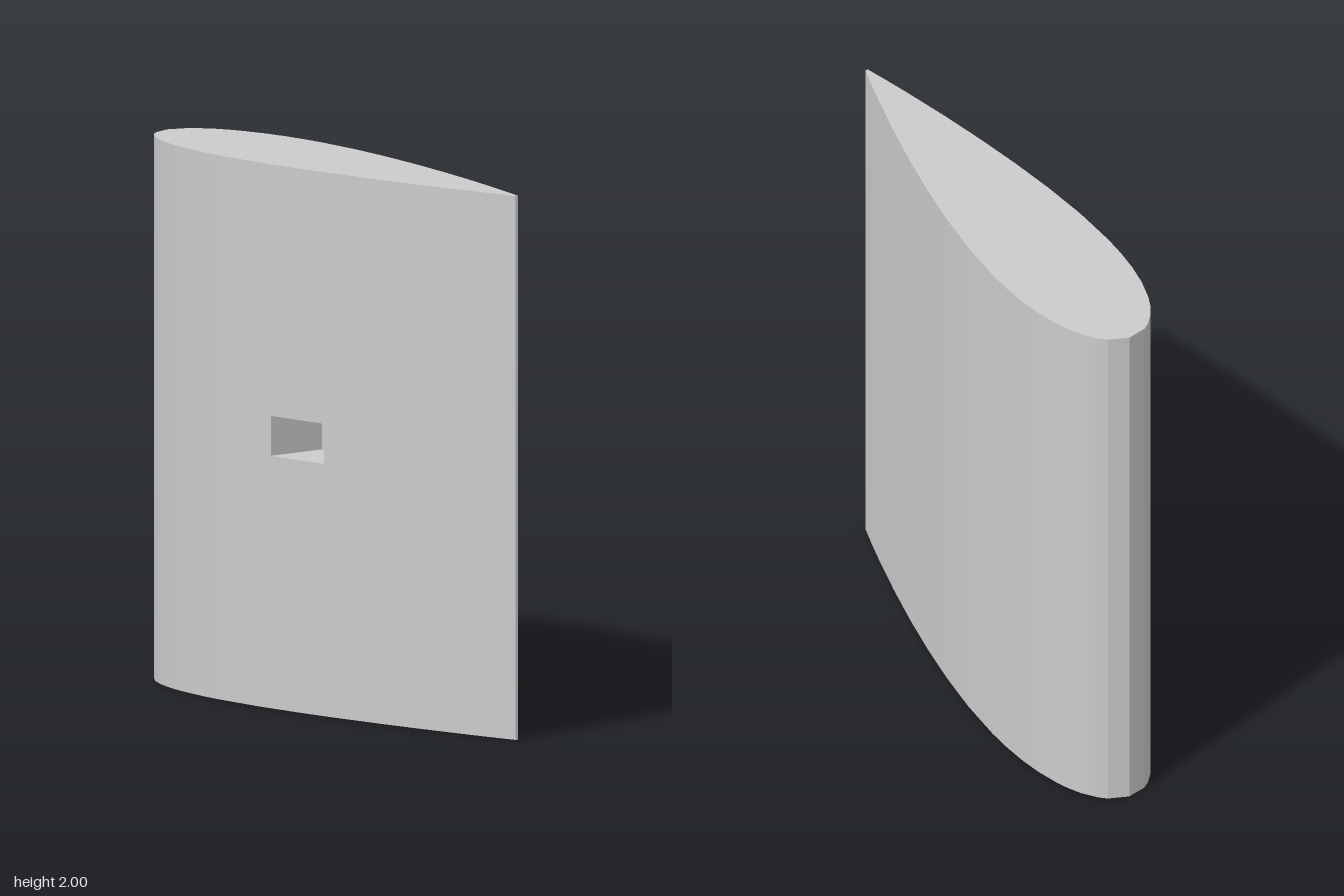
import * as THREE from 'three';

const HEIGHT = 2;
const SLOT = { left: -0.133, right: 0.13, bottom: 0.928, top: 1.075, back: -0.015 };

// Chord stations of the section, closer together towards the rounded nose
const STATIONS = [0, 0.0125, 0.025, 0.05, 0.075, 0.1, 0.15, 0.2, 0.25, 0.3,
  0.4, 0.5, 0.6, 0.7, 0.8, 0.9, 0.95, 1];

// Symmetric aerofoil, 24% thick, chord 2
function halfThickness(t) {
  return 2.4 * (0.2969 * Math.sqrt(t) - 0.126 * t - 0.3516 * t ** 2 + 0.2843 * t ** 3 - 0.1015 * t ** 4);
}

// Upright facets along a path of (x, z) points
function wall(path, y0, y1) {
  const pos = [];
  for (let i = 0; i < path.length - 1; i++) {
    const [ax, az] = path[i], [bx, bz] = path[i + 1];
    pos.push(ax, y0, az, bx, y0, bz, bx, y1, bz, ax, y0, az, bx, y1, bz, ax, y1, az);
  }
  const g = new THREE.BufferGeometry();
  g.setAttribute('position', new THREE.Float32BufferAttribute(pos, 3));
  g.computeVertexNormals();
  return g;
}

// Level face filling an outline of (x, z) points, facing up or down
function cap(outline, y, up) {
  const s = up ? -1 : 1;
  const shape = new THREE.Shape(outline.map(([x, z]) => new THREE.Vector2(x, s * z)));
  return new THREE.ShapeGeometry(shape).rotateX(s * Math.PI / 2).translate(0, y, 0);
}

export function createModel() {
  const model = new THREE.Group();
  const material = new THREE.MeshStandardMaterial({ color: 0xcccccc, flatShading: true });
  const add = (name, geometry) => {
    const mesh = new THREE.Mesh(geometry, material);
    mesh.name = name;
    model.add(mesh);
  };

  // Front and back halves of the section
  const front = STATIONS.map((t) => [2 * t - 1, halfThickness(t)]);
  const back = front.slice(1).reverse().map(([x, z]) => [x, -z]);
  back.push(front[0]);

  // Points on the front facets at the sides of the slot
  const onFront = (x) => {
    const i = front.findIndex((p) => p[0] > x);
    const [ax, az] = front[i - 1], [bx, bz] = front[i];
    return [x, az + (bz - az) * (x - ax) / (bx - ax)];
  };
  const slotLeft = onFront(SLOT.left), slotRight = onFront(SLOT.right);
  const before = [...front.filter((p) => p[0] < SLOT.left), slotLeft];
  const after = [slotRight, ...front.filter((p) => p[0] > SLOT.right)];
  const lip = [slotLeft, ...front.filter((p) => p[0] > SLOT.left && p[0] < SLOT.right), slotRight];
  const recess = [slotLeft, [SLOT.left, SLOT.back], [SLOT.right, SLOT.back], slotRight];

  // Skin: whole around the section except at the slot
  add('frontSkinNose', wall(before, 0, HEIGHT));
  add('frontSkinTail', wall(after, 0, HEIGHT));
  add('frontSkinBelowSlot', wall(lip, 0, SLOT.bottom));
  add('frontSkinAboveSlot', wall(lip, SLOT.top, HEIGHT));
  add('backSkin', wall([front[front.length - 1], ...back], 0, HEIGHT));

  // End faces
  const section = [...before, ...lip.slice(1, -1), ...after, ...back.slice(0, -1)];
  add('topFace', cap(section, HEIGHT, true));
  add('bottomFace', cap(section, 0, false));

  // Rectangular slot cut into the front
  const slotOutline = [...recess, ...lip.slice(1, -1).reverse()];
  add('slotWalls', wall(recess, SLOT.bottom, SLOT.top));
  add('slotFloor', cap(slotOutline, SLOT.bottom, true));
  add('slotCeiling', cap(slotOutline, SLOT.top, false));

  return model;
}
